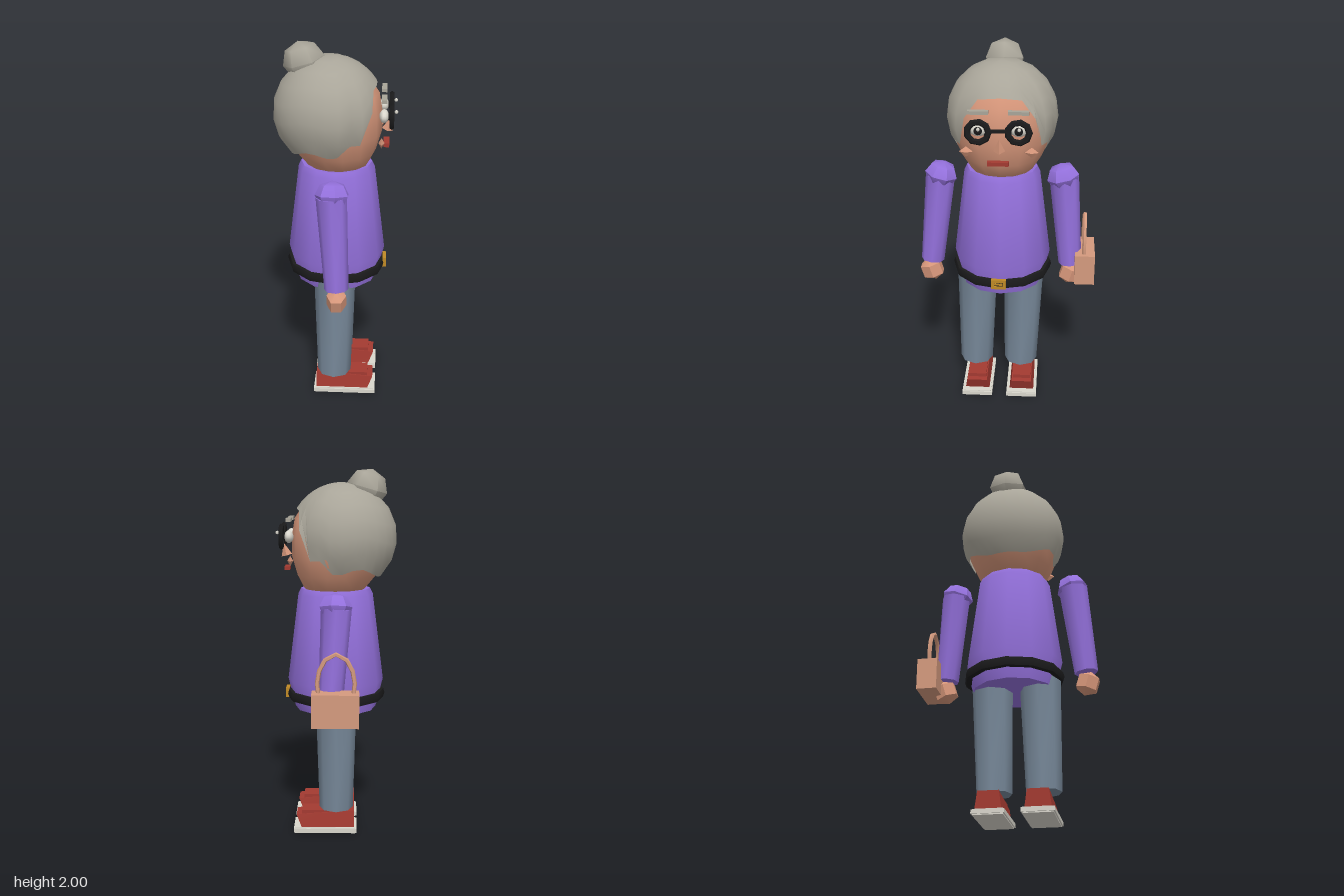
import * as THREE from 'three';
import { toCreasedNormals } from 'three/addons/utils/BufferGeometryUtils.js';

const mat = (name, color, side = THREE.FrontSide) => {
  const m = new THREE.MeshStandardMaterial({ color, side });
  m.name = name;
  return m;
};

export function createModel() {
  const root = new THREE.Group();
  root.name = 'grandmother';

  const purple = mat('purple knit', 0x9370db);
  const hairGrey = mat('grey hair', 0xa9a599, THREE.DoubleSide);
  const skin = mat('skin', 0xd6967a);
  const slate = mat('slate trousers', 0x778899);
  const red = mat('shoe red', 0xa33a31);
  const black = mat('black', 0x1b1b1c);
  const gold = mat('gold', 0xc08a26);
  const pale = mat('pale', 0xd9d6cc);
  const leather = mat('bag leather', 0xd49a7e);

  const add = (name, geo, material, x = 0, y = 0, z = 0, crease = 0.8) => {
    const mesh = new THREE.Mesh(toCreasedNormals(geo, crease), material);
    mesh.name = name;
    mesh.position.set(x, y, z);
    root.add(mesh);
    return mesh;
  };
  const lathe = (pts, n) => new THREE.LatheGeometry(pts.map(p => new THREE.Vector2(...p)), n);
  const box = (x, y, z) => new THREE.BoxGeometry(x, y, z);
  const ball = (rx, ry, rz, w = 6, h = 4) => new THREE.SphereGeometry(1, w, h).scale(rx, ry, rz);

  // Tapered limb between two points
  const limb = (name, material, a, b, rTop, rBottom, sides = 8) => {
    const top = new THREE.Vector3(...a), bottom = new THREE.Vector3(...b);
    const dir = top.clone().sub(bottom);
    const mesh = add(name, new THREE.CylinderGeometry(rTop, rBottom, dir.length(), sides), material);
    mesh.position.copy(top).add(bottom).multiplyScalar(0.5);
    mesh.quaternion.setFromUnitVectors(new THREE.Vector3(0, 1, 0), dir.normalize());
    return mesh;
  };

  // Sweater, with a slightly sunken collar
  add('sweater', lathe([[0, 0.69], [0.225, 0.69], [0.265, 0.85], [0.205, 1.33], [0.19, 1.36], [0, 1.34]], 12),
    purple, 0.01, 0, 0.02);

  // Belt and square buckle
  add('belt', lathe([[0.23, 0.745], [0.268, 0.745], [0.275, 0.768], [0.268, 0.792], [0.23, 0.792]], 12),
    black, 0.01, 0, 0.02);
  const frame = new THREE.Shape([[-0.04, -0.027], [0.04, -0.027], [0.04, 0.027], [-0.04, 0.027]].map(p => new THREE.Vector2(...p)));
  frame.holes.push(new THREE.Path([[-0.024, -0.013], [-0.024, 0.013], [0.024, 0.013], [0.024, -0.013]].map(p => new THREE.Vector2(...p))));
  add('buckle', new THREE.ExtrudeGeometry(frame, { depth: 0.02, bevelEnabled: false }).rotateY(Math.PI / 2),
    gold, 0.267, 0.773, 0.025);
  add('bucklePin', box(0.012, 0.01, 0.045), gold, 0.28, 0.773, 0.025);

  // Trousers, shoes and soles
  for (const [side, zTop, zBottom, zShoe] of [['left', 0.162, 0.174, 0.155], ['right', -0.1, -0.086, -0.1]]) {
    limb(side + 'TrouserLeg', slate, [0.005, 0.74, zTop], [0.005, 0.13, zBottom], 0.112, 0.094);
    const shoe = box(0.31, 0.1, 0.14);
    const p = shoe.attributes.position;
    for (let i = 0; i < p.count; i++) {
      // Narrow the upper and pull the toe back
      if (p.getY(i) > 0) {
        p.setZ(i, p.getZ(i) * 0.8);
        if (p.getX(i) > 0) p.setXYZ(i, p.getX(i) + 0.01, p.getY(i) - 0.025, p.getZ(i));
      } else if (p.getX(i) > 0) p.setX(i, p.getX(i) - 0.02);
    }
    add(side + 'Shoe', shoe, red, 0.06, 0.08, zShoe);
    add(side + 'ShoeTongue', box(0.27, 0.04, 0.1), red, 0.06, 0.108, zShoe);
    add(side + 'Sole', box(0.35, 0.022, 0.172), pale, 0.065, 0.021, zShoe);
    add(side + 'SoleWelt', box(0.335, 0.032, 0.157), pale, 0.065, 0.02, zShoe);
  }

  // Arms, puffed shoulders and hands
  for (const [side, zTop, zBottom, zHand, s] of [['left', 0.358, 0.412, 0.418, 1], ['right', -0.315, -0.36, -0.365, -1]]) {
    limb(side + 'Sleeve', purple, [0, 1.29, zTop], [0.03, 0.79, zBottom], 0.08, 0.064);
    const cap = add(side + 'Shoulder', ball(0.09, 0.075, 0.09, 7, 4), purple, 0.005, 1.298, zTop - 0.006 * s);
    cap.rotation.x = -0.25 * s;
    const hand = add(side + 'Hand', ball(0.06, 0.07, 0.073, 6, 3), skin, 0.03, 0.725, zHand);
    hand.rotation.x = 0.3 * s;
  }

  // Handbag with arched handle
  add('handbag', box(0.245, 0.175, 0.11), leather, 0.003, 0.7875, -0.44);
  const arch = new THREE.CatmullRomCurve3([[-0.09, 0.86], [-0.095, 0.95], [-0.055, 1.045], [0, 1.075],
    [0.055, 1.045], [0.095, 0.95], [0.09, 0.86]].map(([x, y]) => new THREE.Vector3(x, y, -0.435)));
  add('bagHandle', new THREE.TubeGeometry(arch, 8, 0.012, 5), leather);

  // Head, jaw pushed slightly forward
  const head = lathe([[0, 1.34], [0.165, 1.355], [0.215, 1.43], [0.26, 1.53], [0.279, 1.64],
    [0.262, 1.74], [0.195, 1.84], [0.1, 1.9], [0, 1.915]], 14).rotateY(Math.PI / 2);
  const hp = head.attributes.position;
  for (let i = 0; i < hp.count; i++) {
    hp.setX(i, hp.getX(i) + Math.max(0, Math.min(0.045, (1.64 - hp.getY(i)) * 0.16)));
  }
  add('head', head, skin, -0.03, 0, 0.02, 1.2);

  // Hair shell: ends at a hairline height that varies with angle from the face
  const hairline = [[0, 1.795], [25, 1.785], [36, 1.73], [43, 1.6], [50, 1.52], [63, 1.535], [78, 1.45], [92, 1.455],
    [110, 1.49], [135, 1.45], [150, 1.43], [180, 1.43]];
  const lineAt = deg => {
    const i = Math.max(1, hairline.findIndex(h => h[0] >= deg));
    const [a, ya] = hairline[i - 1], [b, yb] = hairline[i];
    return THREE.MathUtils.lerp(ya, yb, (deg - a) / (b - a));
  };
  const cols = 28, rows = 7, R = 0.295, cy = 1.637;
  const pos = [], idx = [];
  for (let c = 0; c <= cols; c++) {
    const phi = (c / cols) * Math.PI * 2;
    const deg = Math.min(c, cols - c) / cols * 360;
    const end = Math.acos((lineAt(deg) - cy) / R);
    for (let r = 0; r <= rows; r++) {
      const t = end * r / rows;
      pos.push(R * Math.sin(t) * Math.cos(phi), R * Math.cos(t), R * Math.sin(t) * Math.sin(phi));
      if (c < cols && r < rows) {
        const a = c * (rows + 1) + r, b = a + rows + 1;
        if (r > 0) idx.push(a, b, a + 1);
        idx.push(b, b + 1, a + 1);
      }
    }
  }
  const hair = new THREE.BufferGeometry();
  hair.setAttribute('position', new THREE.Float32BufferAttribute(pos, 3));
  hair.setIndex(idx);
  add('hair', hair, hairGrey, -0.03, cy, 0.02, 1.2);
  const bun = add('hairBun', ball(0.112, 0.105, 0.112, 6, 4), hairGrey, -0.16, 1.9, 0.015, 1.2);
  bun.rotation.z = 0.28;

  // Eyes, brows, round spectacles and cheeks
  for (const [side, z, s] of [['left', 0.124, 1], ['right', -0.08, -1]]) {
    add(side + 'Eye', ball(0.025, 0.034, 0.048, 10, 8), pale, 0.258, 1.645, z, 1.2);
    add(side + 'Pupil', ball(0.008, 0.022, 0.022, 8, 6), black, 0.282, 1.645, z);
    add(side + 'LensGlint', ball(0.01, 0.01, 0.01), pale, 0.32, 1.667, z - 0.004);
    add(side + 'SpectacleRim', new THREE.TorusGeometry(0.054, 0.017, 6, 9).rotateY(Math.PI / 2).scale(0.75, 1, 1),
      black, 0.298, 1.645, z);
    add(side + 'Brow', box(0.028, 0.018, 0.105), hairGrey, 0.258, 1.735, z + 0.002);
    add(side + 'Cheek', ball(0.016, 0.028, 0.036, 4, 2), skin, 0.247, 1.522, 0.022 + 0.167 * s);
  }
  add('spectacleBridge', box(0.018, 0.014, 0.09), black, 0.302, 1.652, 0.022);

  // Nose and mouth
  add('nose', new THREE.ConeGeometry(0.03, 0.07, 4).rotateZ(-0.25), skin, 0.285, 1.572, 0.018);
  add('mouth', box(0.03, 0.02, 0.11), red, 0.273, 1.47, 0.025);

  return root;
}
